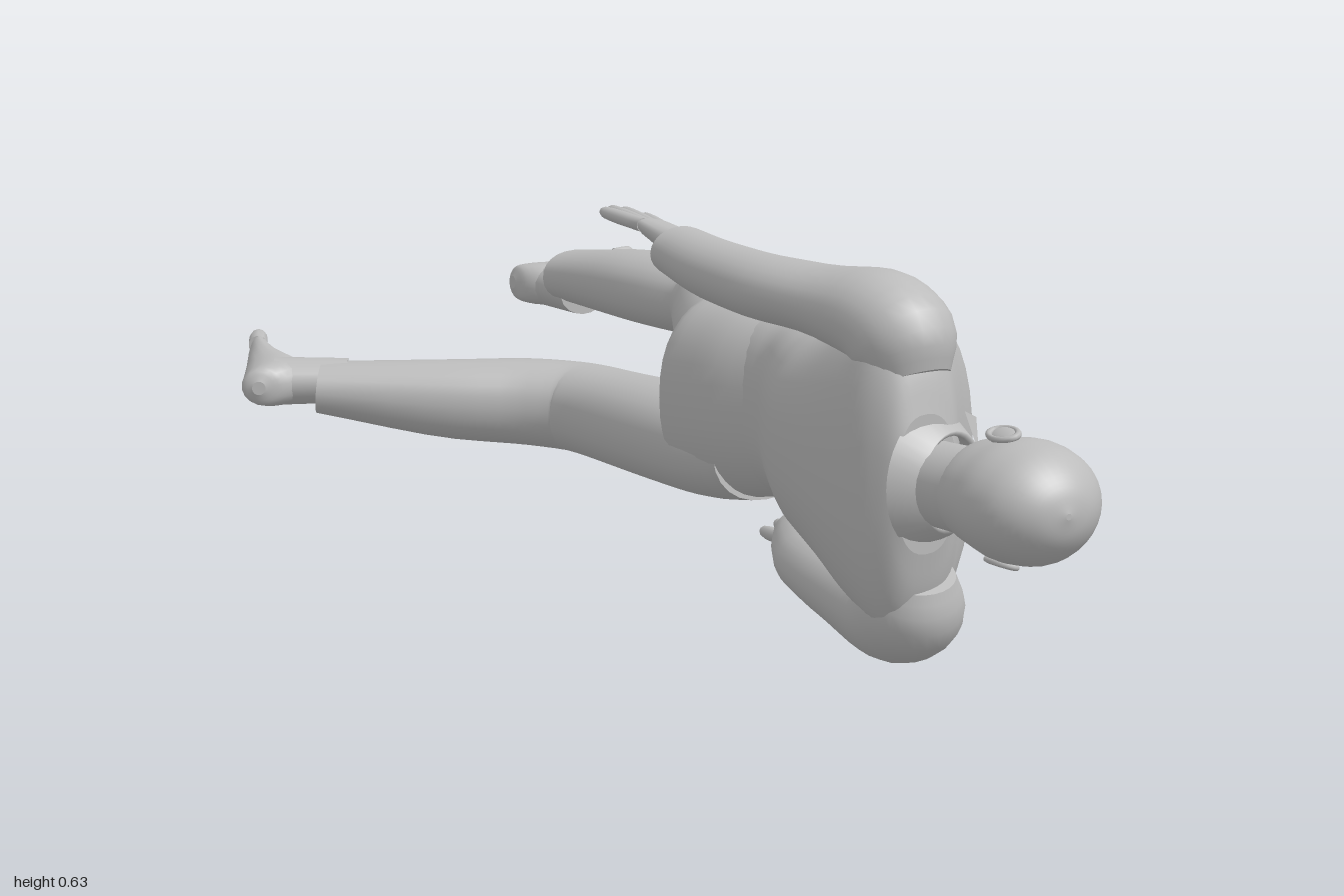
import * as THREE from 'three';

const grey = new THREE.MeshStandardMaterial({ color: 0xbcbcbc, side: THREE.DoubleSide });
grey.name = 'plain grey';

const V3 = (x, y, z) => new THREE.Vector3(x, y, z);

function add(parent, name, geometry) {
  const mesh = new THREE.Mesh(geometry, grey);
  mesh.name = name;
  parent.add(mesh);
  return mesh;
}

// Smooth in-between rings without overshoot
function refine(rings, steps) {
  const slope = (i, k) => {
    if (i === 0 || i === rings.length - 1) {
      const j = i === 0 ? 0 : i - 1;
      return rings[j + 1][k] - rings[j][k];
    }
    const a = rings[i][k] - rings[i - 1][k], b = rings[i + 1][k] - rings[i][k];
    return a * b > 0 ? (2 * a * b) / (a + b) : 0;
  };
  const out = [];
  for (let i = 0; i < rings.length - 1; i++) {
    for (let s = 0; s < steps; s++) {
      const t = s / steps, t2 = t * t, t3 = t2 * t;
      out.push(rings[i].map((p, k) =>
        (2 * t3 - 3 * t2 + 1) * p + (t3 - 2 * t2 + t) * slope(i, k) +
        (3 * t2 - 2 * t3) * rings[i + 1][k] + (t3 - t2) * slope(i + 1, k)));
    }
  }
  out.push(rings[rings.length - 1]);
  return out;
}

// Skin over elliptical rings [x, y, z, halfWidth, halfHeight]; axis fixes the ring plane
function loft(rings, { axis = null, sides = 24, steps = 4, power = 2 } = {}) {
  const list = refine(rings, steps), pos = [], idx = [];
  const centre = list.map(r => V3(r[0], r[1], r[2]));
  const bend = v => Math.sign(v) * Math.pow(Math.abs(v), 2 / power);
  list.forEach((r, i) => {
    const T = axis ? axis.clone() : centre[Math.min(i + 1, list.length - 1)].clone()
      .sub(centre[Math.max(i - 1, 0)]).normalize();
    const U = V3(0, 1, 0).cross(T).normalize(), W = T.clone().cross(U);
    for (let j = 0; j < sides; j++) {
      const q = (j / sides) * Math.PI * 2;
      const p = centre[i].clone().addScaledVector(U, r[3] * bend(Math.cos(q)))
        .addScaledVector(W, r[4] * bend(Math.sin(q)));
      pos.push(p.x, p.y, p.z);
      if (i < list.length - 1) {
        const a = i * sides + j, b = i * sides + (j + 1) % sides;
        idx.push(a, b, a + sides, b, b + sides, a + sides);
      }
    }
  });
  // Flat end caps with their own vertices
  for (const end of [0, list.length - 1]) {
    const base = pos.length / 3;
    pos.push(...centre[end].toArray(), ...pos.slice(end * sides * 3, (end + 1) * sides * 3));
    for (let j = 0; j < sides; j++) {
      const a = base + 1 + j, b = base + 1 + (j + 1) % sides;
      end ? idx.push(base, a, b) : idx.push(base, b, a);
    }
  }
  const g = new THREE.BufferGeometry();
  g.setAttribute('position', new THREE.Float32BufferAttribute(pos, 3));
  g.setIndex(idx);
  g.computeVertexNormals();
  return g;
}

function ball(parent, name, x, y, z, rx, ry, rz) {
  const m = add(parent, name, new THREE.SphereGeometry(1, 16, 12));
  m.position.set(x, y, z);
  m.scale.set(rx, ry, rz);
  return m;
}

// Slim digit from base to tip with a rounded end
function digit(parent, name, from, to, r) {
  const at = t => from.clone().lerp(to, t).toArray();
  add(parent, name, loft([[...at(0), r, r], [...at(0.5), r * 1.02, r], [...at(0.85), r * 0.85, r * 0.85],
    [...at(0.96), r * 0.55, r * 0.55], [...at(1), r * 0.1, r * 0.1]], { sides: 10, steps: 2 }));
}

// Group whose local x runs along dir and y roughly along up
function limbEnd(name, origin, dir, up) {
  const g = new THREE.Group();
  g.name = name;
  const X = dir.normalize(), Z = X.clone().cross(up).normalize(), Y = Z.clone().cross(X);
  g.quaternion.setFromRotationMatrix(new THREE.Matrix4().makeBasis(X, Y, Z));
  g.position.copy(origin);
  return g;
}

// side = which local z the thumb or big toe lies on
function makeHand(name, origin, dir, up, side) {
  const g = limbEnd(name, origin, dir, up);
  add(g, 'palm', loft([[-0.05, 0, 0, 0.038, 0.031], [0, 0, 0, 0.035, 0.028], [0.04, 0, 0, 0.041, 0.024],
    [0.09, 0, 0, 0.045, 0.019], [0.115, 0, 0, 0.04, 0.012]], { axis: V3(1, 0, 0), sides: 16 }));
  [0.235, 0.255, 0.245, 0.215].forEach((len, i) => {
    const z = side * (0.033 - i * 0.022);
    digit(g, 'finger', V3(0.095, 0, z), V3(len, -0.004 - 0.004 * i, z * 1.4), 0.0125);
  });
  digit(g, 'thumb', V3(0.03, -0.006, side * 0.025), V3(0.165, -0.04, side * 0.055), 0.016);
  return g;
}

function makeFoot(name, origin, dir, up, side) {
  const g = limbEnd(name, origin, dir, up);
  add(g, 'sole and instep', loft([[-0.074, -0.1, 0, 0.012, 0.012], [-0.064, -0.093, 0, 0.032, 0.036],
    [-0.025, -0.073, 0, 0.04, 0.058], [0.03, -0.074, 0, 0.041, 0.057], [0.09, -0.096, 0, 0.047, 0.035],
    [0.145, -0.11, 0, 0.053, 0.021], [0.178, -0.114, 0, 0.05, 0.013]], { axis: V3(1, 0, 0), sides: 18 }));
  const ankle = add(g, 'ankle', new THREE.CylinderGeometry(0.048, 0.052, 0.13, 18));
  ankle.position.set(-0.005, -0.01, 0);
  ankle.scale.z = 0.82;
  [0.225, 0.22, 0.212, 0.202, 0.19].forEach((len, i) => {
    const z = side * (0.04 - i * 0.021 - (i ? 0.005 : 0));
    digit(g, 'toe', V3(0.15, -0.113, z * 0.9), V3(len, -0.115, z), i ? 0.012 : 0.017);
  });
  return g;
}

export function createModel() {
  const model = new THREE.Group();
  model.name = 'recliningFigure';
  const up = V3(0, 0, 1), down = V3(0, 0, -1);

  // Shirt body with broad shoulders, and trouser seat
  add(model, 'shirtBody', loft([[0.0, 0.315, 0.705, 0.055, 0.11], [0.002, 0.315, 0.69, 0.068, 0.175],
    [0.005, 0.315, 0.665, 0.085, 0.228], [0.015, 0.315, 0.63, 0.108, 0.255], [0.04, 0.318, 0.57, 0.138, 0.247],
    [0.052, 0.325, 0.49, 0.152, 0.21], [0.062, 0.332, 0.4, 0.153, 0.18], [0.08, 0.338, 0.32, 0.14, 0.163],
    [0.105, 0.345, 0.22, 0.12, 0.156], [0.105, 0.345, 0.17, 0.12, 0.161]],
  { axis: down, sides: 36, power: 2.45 }));
  add(model, 'trouserSeat', loft([[0.105, 0.345, 0.22, 0.108, 0.15], [0.085, 0.337, 0.1, 0.13, 0.168],
    [0.08, 0.33, 0, 0.134, 0.172], [0.085, 0.328, -0.05, 0.115, 0.14], [0.085, 0.328, -0.085, 0.06, 0.06]],
  { axis: down, sides: 36, power: 2.3 }));

  // Trouser legs
  add(model, 'leftTrouserLeg', loft([[0.09, 0.41, 0.1, 0.11, 0.088], [0.12, 0.42, 0, 0.125, 0.095],
    [0.19, 0.42, -0.16, 0.115, 0.092], [0.26, 0.411, -0.3, 0.106, 0.076], [0.297, 0.405, -0.4, 0.102, 0.068],
    [0.28, 0.405, -0.5, 0.094, 0.068], [0.262, 0.403, -0.62, 0.084, 0.064], [0.25, 0.39, -0.845, 0.07, 0.047]],
  { power: 2.2 }));
  add(model, 'rightTrouserLeg', loft([[0.08, 0.25, 0.1, 0.105, 0.085], [0.07, 0.24, 0, 0.115, 0.088],
    [0.06, 0.235, -0.15, 0.105, 0.085], [0.053, 0.23, -0.35, 0.093, 0.08], [0.04, 0.23, -0.44, 0.092, 0.078],
    [-0.025, 0.235, -0.51, 0.085, 0.076], [-0.14, 0.24, -0.578, 0.076, 0.07], [-0.345, 0.26, -0.71, 0.064, 0.045]],
  { power: 2.2 }));
  model.add(makeFoot('leftFoot', V3(0.255, 0.36, -0.865), V3(1, -0.05, 0.02), up, 1));
  model.add(makeFoot('rightFoot', V3(-0.343, 0.27, -0.725), V3(0.47, 0, -0.88), V3(0.88, 0, 0.47), -1));

  // Sleeves, rooted inside the shoulders, and hands
  add(model, 'leftSleeve', loft([[0.01, 0.47, 0.655, 0.06, 0.05], [0.008, 0.525, 0.625, 0.085, 0.085],
    [0, 0.556, 0.56, 0.088, 0.075], [-0.02, 0.563, 0.42, 0.077, 0.055], [-0.04, 0.565, 0.28, 0.065, 0.053],
    [-0.04, 0.57, 0.15, 0.06, 0.05], [-0.03, 0.582, 0.015, 0.055, 0.042]]));
  add(model, 'rightSleeve', loft([[0.02, 0.16, 0.655, 0.06, 0.05], [0.03, 0.105, 0.625, 0.084, 0.085],
    [0.037, 0.078, 0.56, 0.088, 0.077], [0.045, 0.09, 0.42, 0.077, 0.062], [0.065, 0.095, 0.3, 0.068, 0.055],
    [0.12, 0.09, 0.18, 0.062, 0.05], [0.213, 0.075, 0.015, 0.05, 0.039]]));
  model.add(makeHand('leftHand', V3(-0.015, 0.585, 0.005), V3(0.05, 0.16, -1), V3(0.35, 0.93, 0), 1));
  model.add(makeHand('rightHand', V3(0.225, 0.072, 0), V3(0.42, -0.18, -0.88), V3(0.5, -0.87, 0), -1));

  // Neck, head and face
  const head = new THREE.Group();
  head.name = 'head';
  model.add(head);
  const Y = 0.316;
  add(head, 'neck', loft([[0.01, Y, 0.64, 0.068, 0.075], [0.015, Y, 0.7, 0.064, 0.066],
    [0.03, Y, 0.8, 0.067, 0.068]], { axis: up }));
  add(head, 'skull', loft([[0.125, Y, 0.706, 0.022, 0.025], [0.108, Y, 0.718, 0.052, 0.045],
    [0.085, Y, 0.745, 0.08, 0.064], [0.065, Y, 0.785, 0.102, 0.08], [0.06, Y, 0.83, 0.107, 0.089],
    [0.06, Y, 0.88, 0.114, 0.096], [0.058, Y, 0.93, 0.105, 0.09], [0.056, Y, 0.97, 0.078, 0.066],
    [0.055, Y, 0.992, 0.042, 0.035], [0.055, Y, 1, 0.005, 0.005]], { axis: up, sides: 32 }));
  add(head, 'nose', loft([[0.155, Y, 0.775, 0.012, 0.016], [0.167, Y, 0.782, 0.02, 0.018],
    [0.164, Y, 0.805, 0.014, 0.011], [0.157, Y, 0.84, 0.01, 0.009]], { axis: up, sides: 12 }));
  ball(head, 'upperLip', 0.158, Y, 0.757, 0.012, 0.026, 0.006);
  ball(head, 'lowerLip', 0.154, Y, 0.746, 0.012, 0.022, 0.007);
  ball(head, 'chin', 0.138, Y, 0.725, 0.022, 0.028, 0.02);
  for (const s of [-1, 1]) {
    ball(head, 'eye', 0.146, Y + s * 0.036, 0.83, 0.014, 0.017, 0.01);
    ball(head, 'brow', 0.149, Y + s * 0.037, 0.852, 0.014, 0.026, 0.008);
    const ear = ball(head, 'ear', 0.045, Y + s * 0.096, 0.845, 0.02, 0.009, 0.034);
    ear.rotation.z = s * 0.45;
    const rim = add(head, 'earRim', new THREE.TorusGeometry(0.022, 0.005, 8, 20));
    rim.position.set(0.04, Y + s * 0.1, 0.85);
    rim.rotation.set(Math.PI / 2, s * 0.3, 0);
    rim.scale.set(0.85, 1.35, 1);
  }

  // Folded collar, open at the throat, with pointed tips
  const band = new THREE.LatheGeometry([[0.074, -0.03], [0.072, 0.02], [0.08, 0.025], [0.11, -0.02]]
    .map(p => new THREE.Vector2(...p)), 28, Math.PI / 2 + 0.5, Math.PI * 2 - 1);
  band.rotateX(Math.PI / 2);
  const collar = add(model, 'collar', band);
  collar.position.set(0.03, Y, 0.695);
  collar.rotation.y = 0.35;
  for (const s of [-1, 1]) {
    const tip = new THREE.BufferGeometry();
    tip.setAttribute('position', new THREE.Float32BufferAttribute([
      0.1, Y + s * 0.035, 0.7, 0.1, Y + s * 0.095, 0.66, 0.16, Y + s * 0.07, 0.605,
      0.1, Y + s * 0.035, 0.7, 0.16, Y + s * 0.07, 0.605, 0.14, Y + s * 0.015, 0.64], 3));
    tip.computeVertexNormals();
    add(model, 'collarTip', tip);
  }
  return model;
}
